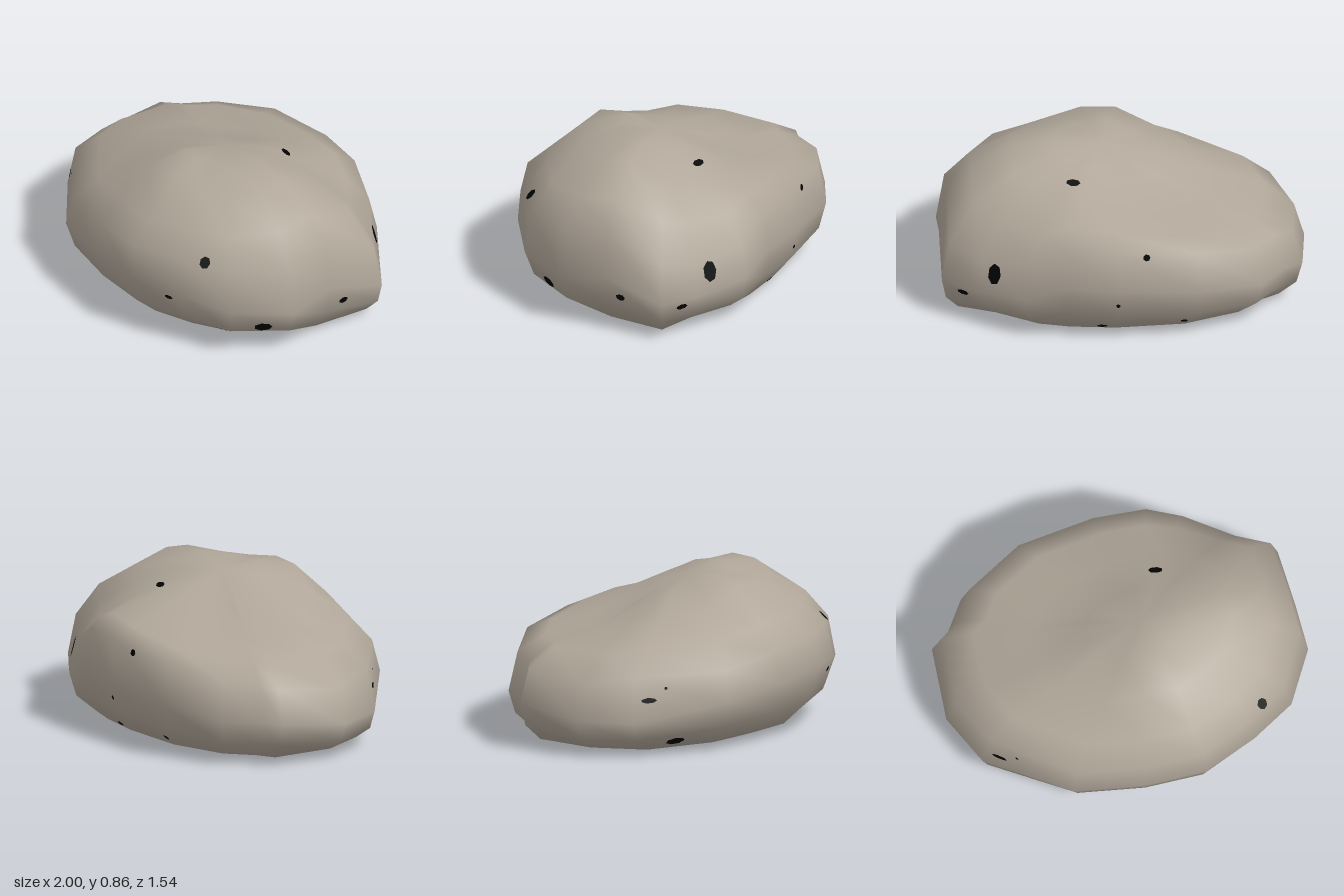
import * as THREE from 'three';
import { mergeVertices } from 'three/addons/utils/BufferGeometryUtils.js';

// Stations around the boulder: widest x, z and its height, heights at the four top rings,
// and how far out the foot reaches as a share of the widest radius.
const STATIONS = [
  [-1, -0.02, 0.2, 0.39, 0.54, 0.62, 0.735, 0.88],
  [-0.95, -0.41, 0.25, 0.43, 0.53, 0.58, 0.7, 0.88],
  [-0.84, -0.47, 0.25, 0.45, 0.54, 0.58, 0.695, 0.88],
  [-0.71, -0.63, 0.25, 0.46, 0.54, 0.58, 0.69, 0.85],
  [-0.37, -0.77, 0.3, 0.52, 0.57, 0.6, 0.7, 0.82],
  [0.08, -0.775, 0.33, 0.56, 0.61, 0.66, 0.76, 0.82],
  [0.38, -0.73, 0.35, 0.56, 0.63, 0.69, 0.78, 0.82],
  [0.58, -0.67, 0.25, 0.43, 0.57, 0.69, 0.79, 0.82],
  [0.83, -0.48, 0.22, 0.38, 0.58, 0.73, 0.815, 0.84],
  [1, -0.35, 0.22, 0.44, 0.63, 0.77, 0.835, 0.9],
  [0.98, 0, 0.33, 0.6, 0.715, 0.84, 0.855, 0.86],
  [0.97, 0.25, 0.27, 0.54, 0.69, 0.83, 0.855, 0.76],
  [0.78, 0.53, 0.3, 0.52, 0.67, 0.79, 0.85, 0.73],
  [0.52, 0.67, 0.35, 0.54, 0.66, 0.79, 0.85, 0.73],
  [0.22, 0.77, 0.37, 0.54, 0.64, 0.81, 0.835, 0.73],
  [-0.12, 0.73, 0.33, 0.5, 0.63, 0.81, 0.85, 0.74],
  [-0.49, 0.62, 0.28, 0.45, 0.58, 0.72, 0.8, 0.78],
  [-0.89, 0.27, 0.2, 0.44, 0.57, 0.66, 0.765, 0.88],
];
const CENTRE_X = 0.1;

// Each ring: share of the widest radius and height at a station, from the base up
const RINGS = [
  (s) => [0, 0],
  (s) => [s[7] * 0.82, 0],
  (s) => [s[7], 0.035],
  (s) => [0.25 * s[7] + 0.75, s[2] * 0.5],
  (s) => [1, s[2]],
  (s) => [0.95, s[3]],
  (s) => [0.8, s[4]],
  (s) => [0.55, s[5]],
  (s) => [0.28, s[6]],
  (s) => [0, 0.825],
];

function boulderGeometry() {
  const pos = [], index = [], n = STATIONS.length, last = RINGS.length - 1;
  RINGS.forEach((ring, i) => {
    STATIONS.forEach((s, j) => {
      const [f, y] = ring(s);
      pos.push(CENTRE_X + (s[0] - CENTRE_X) * f, y, s[1] * f);
      if (i === last) return;
      const a = i * n + j, b = i * n + ((j + 1) % n), c = b + n, d = a + n;
      // The first and last bands are fans that meet in a point
      if (i < last - 1) index.push(a, d, c);
      if (i === last - 1) index.push(a, d, b);
      else if (i > 0) index.push(a, c, b);
    });
  });
  let g = new THREE.BufferGeometry();
  g.setAttribute('position', new THREE.Float32BufferAttribute(pos, 3));
  g.setIndex(index);
  g = mergeVertices(g, 1e-4);
  g.computeVertexNormals();
  return g;
}

export function createModel() {
  const group = new THREE.Group();
  const stone = new THREE.MeshStandardMaterial({ color: 0xb0a699 });
  stone.name = 'warm grey stone';
  const dark = new THREE.MeshStandardMaterial({ color: 0x030303 });
  dark.name = 'black pit';

  const boulder = new THREE.Mesh(boulderGeometry(), stone);
  boulder.name = 'boulder';
  group.add(boulder);

  // Small dark pits: side, two coordinates across that side, width and height
  const pits = [
    ['front', 0.6, 0.55, 0.06, 0.07], ['front', 0.44, 0.305, 0.05, 0.03],
    ['front', -0.81, 0.32, 0.09, 0.03], ['front', -0.63, 0.075, 0.11, 0.08],
    ['front', 0.69, 0.15, 0.13, 0.07], ['front', -0.73, 0.38, 0.018, 0.018],
    ['side', 0.36, 0.18, 0.1, 0.065], ['side', 0.32, 0.055, 0.14, 0.08],
    ['side', -0.1, 0.22, 0.055, 0.04], ['side', -0.52, 0.34, 0.08, 0.12],
    ['side', -0.42, 0.185, 0.07, 0.035], ['top', 0.28, -0.28, 0.08, 0.045],
    ['back', -0.07, 0.52, 0.04, 0.04], ['back', 0.085, 0.24, 0.025, 0.025],
    ['back', 0.16, 0.06, 0.06, 0.03], ['back', -0.28, 0.085, 0.04, 0.035],
  ];
  const rays = {
    front: (u, v) => [new THREE.Vector3(u, v, 3), new THREE.Vector3(0, 0, -1)],
    back: (u, v) => [new THREE.Vector3(u, v, -3), new THREE.Vector3(0, 0, 1)],
    side: (u, v) => [new THREE.Vector3(3, v, u), new THREE.Vector3(-1, 0, 0)],
    top: (u, v) => [new THREE.Vector3(u, 3, v), new THREE.Vector3(0, -1, 0)],
  };
  for (const [side, u, v, w, h] of pits) {
    const hit = new THREE.Raycaster(...rays[side](u, v)).intersectObject(boulder)[0];
    const pit = new THREE.Mesh(new THREE.CircleGeometry(0.5, 7), dark);
    pit.name = 'pit';
    pit.scale.set(w, h, 1);
    pit.position.copy(hit.point).addScaledVector(hit.face.normal, 0.005);
    pit.lookAt(pit.position.clone().add(hit.face.normal));
    group.add(pit);
  }
  return group;
}
